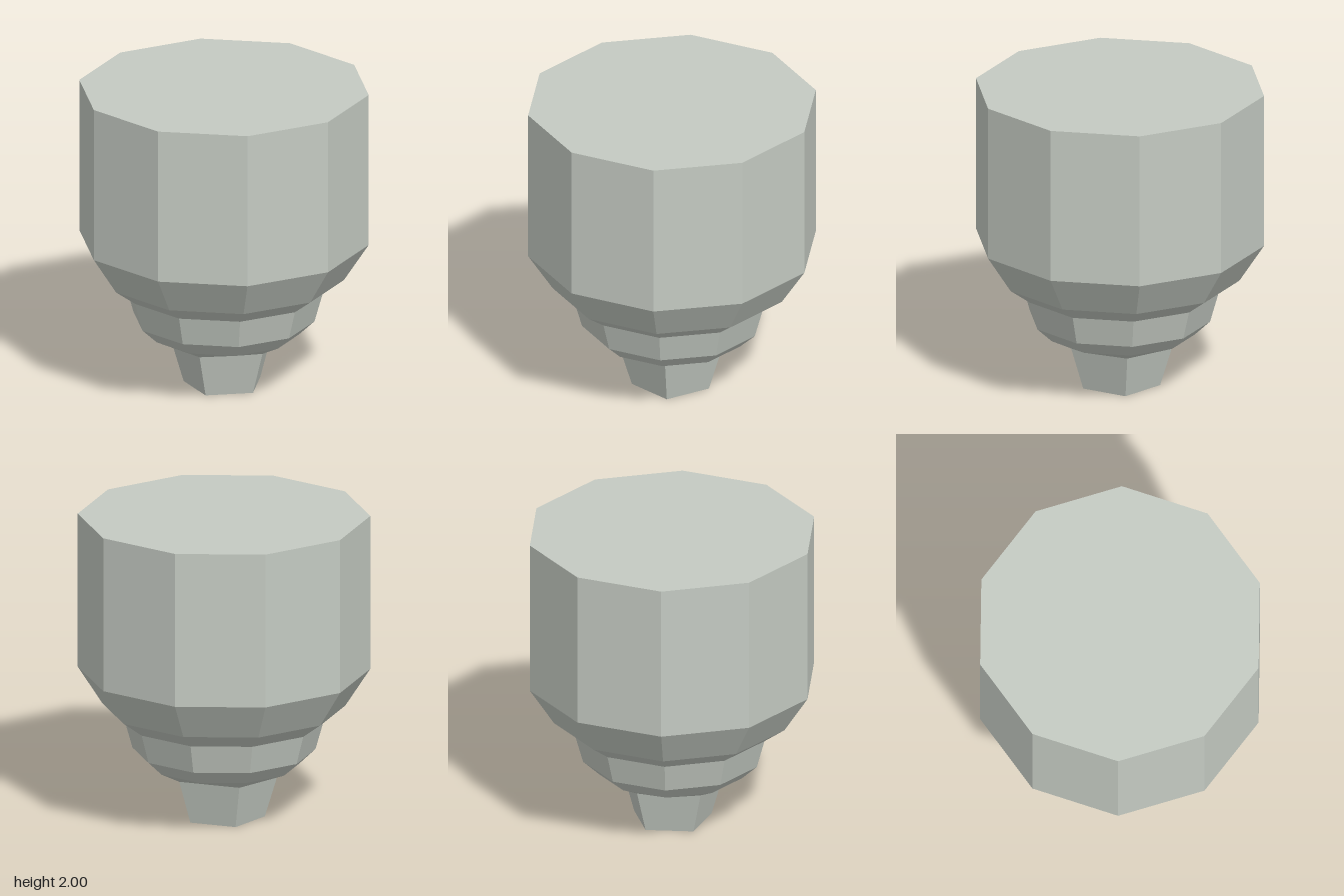
import * as THREE from 'three';

// Flat facets: split shared corners so every face has its own normal
function facet(geometry) {
  const g = geometry.index ? geometry.toNonIndexed() : geometry;
  g.computeVertexNormals();
  return g;
}

// Faceted solid of revolution from [radius, height] pairs, bottom to top
function turned(profile, sides) {
  const points = profile.map(([r, y]) => new THREE.Vector2(r, y));
  return facet(new THREE.LatheGeometry(points, sides));
}

// Point on a ring; turn is a fraction of a full circle starting at the front
function ringPoint(radius, y, turn) {
  const a = turn * Math.PI * 2;
  return new THREE.Vector3(Math.sin(a) * radius, y, Math.cos(a) * radius);
}

// Collar joining a ten-sided ring above to a five-sided ring below
function collarGeometry(topR, topY, lowR, lowY) {
  const corners = [];
  for (let i = 0; i < 5; i++) {
    const p0 = ringPoint(lowR, lowY, i / 5);
    const p1 = ringPoint(lowR, lowY, (i + 1) / 5);
    const [d0, d1, d2] = [0, 1, 2].map((k) => ringPoint(topR, topY, (2 * i + k) / 10));
    corners.push(p0, p1, d1, p0, d1, d0, p1, d2, d1);
  }
  return facet(new THREE.BufferGeometry().setFromPoints(corners));
}

export function createModel() {
  const model = new THREE.Group();
  model.name = 'steppedPlug';

  const paleGrey = new THREE.MeshStandardMaterial({ color: 0xc4cac2 });
  paleGrey.name = 'paleGrey';

  const add = (name, geometry) => {
    const mesh = new THREE.Mesh(geometry, paleGrey);
    mesh.name = name;
    model.add(mesh);
  };

  // Ten-sided barrel with its tapering shoulder
  add('barrel', turned([[0.636, 0.64], [0.773, 0.74], [0.932, 0.985], [0.932, 2], [0, 2]], 10));
  // Narrower ten-sided step below the shoulder
  add('step', turned([[0.482, 0.355], [0.583, 0.45], [0.636, 0.64]], 10));
  // Underside that narrows to the foot
  add('collar', collarGeometry(0.482, 0.355, 0.345, 0.285));
  // Five-sided tapered foot
  add('foot', turned([[0, 0], [0.26, 0], [0.345, 0.285]], 5));

  return model;
}
